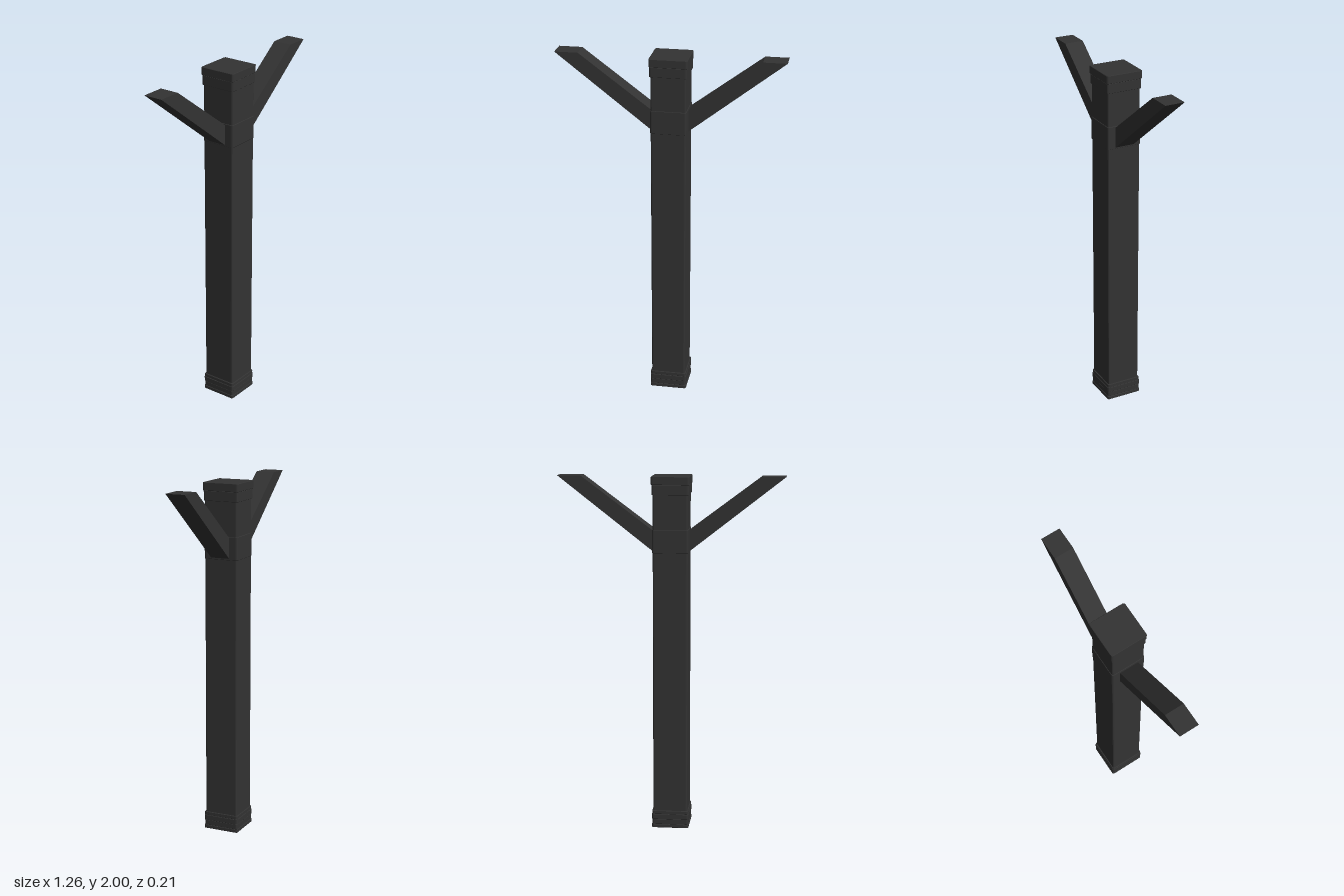
import * as THREE from 'three';

const material = new THREE.MeshStandardMaterial({ color: 0x333333 });

// Square block with rounded upright edges and a small chamfer at top and bottom
function block(name, half, y0, y1, bevel) {
  const h = half - bevel, r = 0.01;
  const s = new THREE.Shape();
  s.moveTo(-h + r, -h);
  s.lineTo(h - r, -h);
  s.quadraticCurveTo(h, -h, h, -h + r);
  s.lineTo(h, h - r);
  s.quadraticCurveTo(h, h, h - r, h);
  s.lineTo(-h + r, h);
  s.quadraticCurveTo(-h, h, -h, h - r);
  s.lineTo(-h, -h + r);
  s.quadraticCurveTo(-h, -h, -h + r, -h);
  const geometry = new THREE.ExtrudeGeometry(s, {
    depth: y1 - y0 - 2 * bevel, curveSegments: 4,
    bevelEnabled: bevel > 0, bevelSize: bevel, bevelThickness: bevel, bevelSegments: 1,
  });
  geometry.rotateX(-Math.PI / 2).translate(0, y0 + bevel, 0);
  const mesh = new THREE.Mesh(geometry, material);
  mesh.name = name;
  return mesh;
}

// Sloping brace with a level top end and an upright end beside the post
function brace(name, side) {
  const points = [[0.105, 1.59], [0.63, 2], [0.5, 2], [0.105, 1.705]]
    .map(([x, y]) => new THREE.Vector2(x * side, y));
  const geometry = new THREE.ExtrudeGeometry(new THREE.Shape(points), { depth: 0.11, bevelEnabled: false });
  geometry.translate(0, 0, -0.055);
  const mesh = new THREE.Mesh(geometry, material);
  mesh.name = name;
  return mesh;
}

export function createModel() {
  const model = new THREE.Group();
  model.name = 'bracedPost';

  // Shaft and the collar behind the braces
  model.add(block('shaft', 0.097, 0.05, 1.95, 0));
  model.add(block('collar', 0.1, 1.58, 1.71, 0.002));

  // Stacked bands at the foot
  const foot = [0, 0.02, 0.05, 0.08, 0.1];
  for (let i = 0; i < 4; i++) {
    model.add(block('footBand' + (i + 1), i % 2 ? 0.103 : 0.105, foot[i], foot[i + 1], 0.002));
  }

  // Two-step cap
  model.add(block('capBand', 0.103, 1.9, 1.955, 0.002));
  model.add(block('cap', 0.106, 1.955, 2, 0.002));

  model.add(brace('leftBrace', 1), brace('rightBrace', -1));
  return model;
}
